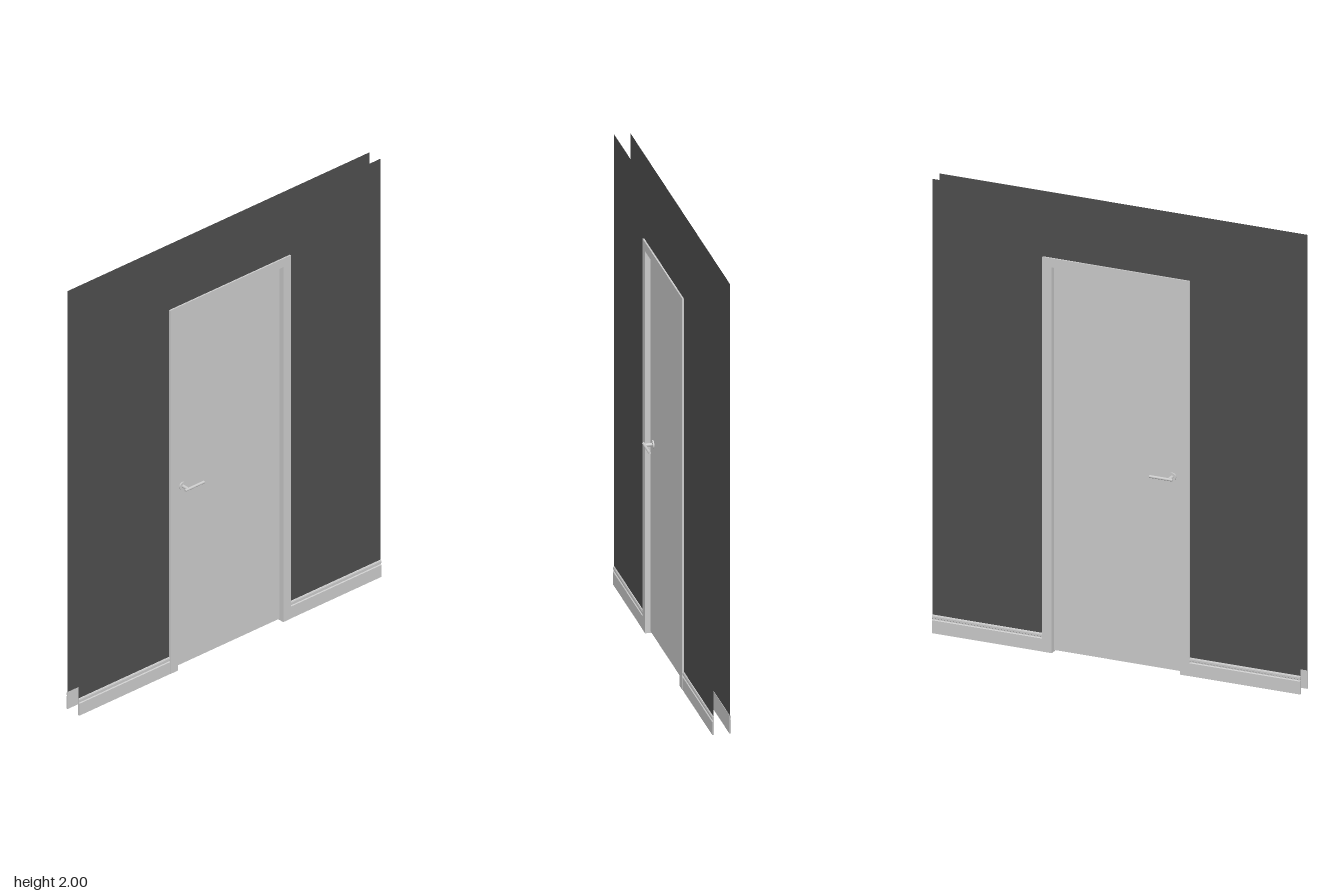
import * as THREE from 'three';

const grey = new THREE.MeshStandardMaterial({ color: 0xcccccc });
const dark = new THREE.MeshStandardMaterial({ color: 0x4e4e4e, side: THREE.DoubleSide });

const HALF_W = 0.833, WALL_H = 2, WALL_Z = 0.034;
const FRAME_X = 0.333, FRAME_TOP = 1.74, FRAME_Z = 0.041;
const OPEN_X = 0.29, OPEN_TOP = 1.7;
const DOOR_Z = 0.017;

function add(parent, name, geometry, material = grey) {
  const mesh = new THREE.Mesh(geometry, material);
  mesh.name = name;
  parent.add(mesh);
  return mesh;
}

// Upside-down U: a sheet with a doorway cut up from the floor
function archShape(outerX, outerTop, innerX, innerTop) {
  return new THREE.Shape([
    [-outerX, 0], [-innerX, 0], [-innerX, innerTop], [innerX, innerTop],
    [innerX, 0], [outerX, 0], [outerX, outerTop], [-outerX, outerTop],
  ].map(([x, y]) => new THREE.Vector2(x, y)));
}

// Skirting board with a groove below its rounded top, running along x
function skirtingGeometry(length) {
  const profile = new THREE.Shape([
    [0.032, 0], [0.04, 0], [0.04, 0.057], [0.036, 0.06], [0.036, 0.064],
    [0.039, 0.066], [0.039, 0.074], [0.037, 0.079], [0.032, 0.081],
  ].map(([z, y]) => new THREE.Vector2(z, y)));
  return new THREE.ExtrudeGeometry(profile, { depth: length, bevelEnabled: false })
    .rotateY(-Math.PI / 2)
    .translate(length / 2, 0, 0);
}

// Lever handle on one face of the door; s = +1 front, -1 back
function createHandle(s) {
  const handle = new THREE.Group();
  handle.name = s > 0 ? 'frontHandle' : 'backHandle';
  handle.position.set(-0.245, 0.857, 0);

  const rose = add(handle, 'rose', new THREE.CylinderGeometry(0.018, 0.018, 0.006, 32).rotateX(Math.PI / 2));
  rose.position.z = s * (DOOR_Z + 0.003);

  const neck = add(handle, 'neck', new THREE.CylinderGeometry(0.007, 0.007, 0.034, 20).rotateX(Math.PI / 2));
  neck.position.z = s * (DOOR_Z + 0.02);

  const lever = add(handle, 'lever', new THREE.CylinderGeometry(0.006, 0.006, 0.104, 20).rotateZ(Math.PI / 2));
  lever.position.set(0.034, 0, s * 0.054);
  return handle;
}

export function createModel() {
  const model = new THREE.Group();
  model.name = 'doorInWall';

  // Thin wall sheets, front and back
  const wallGeometry = new THREE.ShapeGeometry(archShape(HALF_W, WALL_H, FRAME_X - 0.01, FRAME_TOP - 0.01));
  const frontWall = add(model, 'frontWall', wallGeometry, dark);
  frontWall.position.z = WALL_Z;
  const backWall = add(model, 'backWall', wallGeometry, dark);
  backWall.position.z = -WALL_Z;
  backWall.rotation.y = Math.PI;

  // Door frame: two jambs and a head in one piece
  const frame = new THREE.ExtrudeGeometry(archShape(FRAME_X, FRAME_TOP, OPEN_X, OPEN_TOP),
    { depth: 2 * FRAME_Z, bevelEnabled: false });
  add(model, 'doorFrame', frame.translate(0, 0, -FRAME_Z));

  // Door leaf, recessed on both sides with a small gap at the floor
  const leaf = add(model, 'doorLeaf', new THREE.BoxGeometry(2 * OPEN_X, OPEN_TOP - 0.006, 2 * DOOR_Z));
  leaf.position.y = (OPEN_TOP + 0.006) / 2;

  // Skirting boards on both sides of the frame, on both wall faces
  const length = HALF_W - FRAME_X;
  const skirting = skirtingGeometry(length);
  for (const [face, turn] of [['front', 0], ['back', Math.PI]]) {
    const group = new THREE.Group();
    group.name = face + 'Skirting';
    group.rotation.y = turn;
    for (const side of [-1, 1]) {
      add(group, 'skirtingBoard', skirting).position.x = side * (FRAME_X + length / 2);
    }
    model.add(group);
  }

  // Lever handles
  model.add(createHandle(1), createHandle(-1));

  return model;
}
